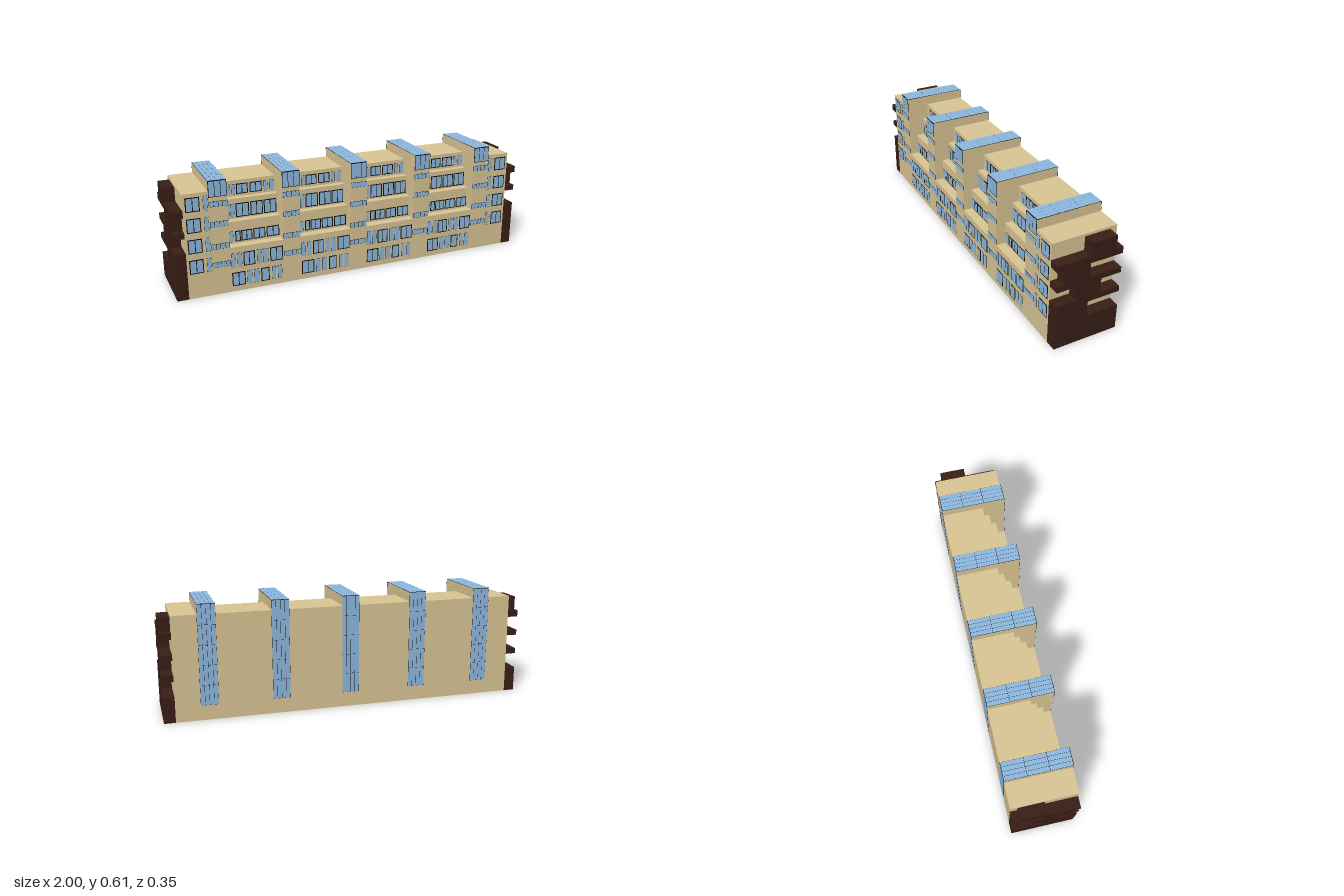
import * as THREE from 'three';

const mat = (color) => new THREE.MeshStandardMaterial({ color });
const WALL = mat(0xdcc896), BROWN = mat(0x3a1e16), GLASS = mat(0x8fbbe2), FRAME = mat(0x15130f);

// Box given by its limits on each axis
function block(name, material, x0, x1, y0, y1, z0, z1) {
  const m = new THREE.Mesh(new THREE.BoxGeometry(x1 - x0, y1 - y0, z1 - z0), material);
  m.name = name;
  m.position.set((x0 + x1) / 2, (y0 + y1) / 2, (z0 + z1) / 2);
  return m;
}

// Glazed panel facing +z, standing on its local origin: dark backing and a grid of panes
function glazing(name, w, h, cols, rows, border, gap) {
  const g = new THREE.Group();
  g.name = name;
  g.add(block('frame', FRAME, -w / 2, w / 2, 0, h, -0.001, 0.0015));
  const pw = (w - 2 * border - (cols - 1) * gap) / cols;
  const ph = (h - 2 * border - (rows - 1) * gap) / rows;
  for (let c = 0; c < cols; c++) {
    for (let r = 0; r < rows; r++) {
      const x = -w / 2 + border + c * (pw + gap), y = border + r * (ph + gap);
      g.add(block('pane', GLASS, x, x + pw, y, y + ph, 0, 0.0025));
    }
  }
  return g;
}

export function createModel() {
  const model = new THREE.Group();
  const D = 0.175, END = 0.94, ROOF = 0.56, TOP = 0.612, HALF = 0.047;
  const towers = [-0.763, -0.382, 0, 0.382, 0.763];

  const addWindow = (x0, x1, y0, y1, z, framed) => {
    const w = x1 - x0;
    const cols = framed && w > 0.05 ? 2 : 1;
    const win = framed ? glazing('framedWindow', w, y1 - y0, cols, 1, 0.005, 0.004)
      : glazing('plainWindow', w, y1 - y0, 1, 1, 0.001, 0);
    win.position.set((x0 + x1) / 2, y0, z);
    model.add(win);
  };

  // Stepped tiers between the towers: bottom, top, front plane
  const tiers = [[0, 0.245, D], [0.245, 0.365, 0.125], [0.365, 0.473, 0.085], [0.473, ROOF, 0.05]];
  // Window rows: bottom, top, front plane, then [start, end, framed] from the bay centre
  const rows = [
    [0.03, 0.105, D, [[-0.14, -0.07, 1], [-0.06, -0.034], [-0.024, 0.004], [0.015, 0.06, 1], [0.075, 0.095], [0.106, 0.13]]],
    [0.135, 0.212, D, [[-0.14, -0.117], [-0.108, -0.084], [-0.076, -0.015, 1], [-0.004, 0.022], [0.028, 0.058], [0.067, 0.137, 1]]],
    [0.255, 0.312, 0.125, [[-0.14, -0.108], [-0.1, -0.072, 1], [-0.068, -0.01, 1], [-0.004, 0.06, 1], [0.068, 0.137, 1]]],
    [0.372, 0.447, 0.085, [[-0.14, -0.115], [-0.108, -0.086], [-0.08, -0.01, 1], [-0.002, 0.064, 1], [0.07, 0.138, 1]]],
    [0.485, 0.54, 0.05, [[-0.118, -0.096], [-0.09, -0.07], [-0.064, -0.002, 1], [0.008, 0.073, 1], [0.082, 0.104], [0.114, 0.138]]],
  ];
  for (let i = 0; i < 4; i++) {
    const left = towers[i] + HALF, right = towers[i + 1] - HALF, mid = (left + right) / 2;
    for (const [y0, y1, z] of tiers) model.add(block('terraceTier', WALL, left, right, y0, y1, -D, z));
    for (const [y0, y1, z, list] of rows) {
      for (const [a, b, framed] of list) addWindow(mid + a, mid + b, y0, y1, z, framed);
    }
  }

  // Stair towers with glazed roof, rear strip, head window and landing windows
  for (const x of towers) {
    model.add(block('stairTower', WALL, x - HALF, x + HALF, 0, TOP, -D, D));

    const roof = glazing('towerRoofGlazing', 2 * HALF, 2 * D, 4, 3, 0.001, 0.0015);
    roof.rotation.x = -Math.PI / 2;
    roof.position.set(x, TOP, D);

    const rear = glazing('towerRearGlazing', 2 * HALF, TOP - 0.08, 4, 5, 0.001, 0.0015);
    rear.rotation.y = Math.PI;
    rear.position.set(x, 0.08, -D);

    const head = glazing('towerHeadWindow', 2 * HALF, 0.084, 3, 1, 0.003, 0.003);
    head.position.set(x, 0.528, D);
    model.add(roof, rear, head);

    for (const y of [0.15, 0.25, 0.37, 0.477]) {
      const landing = glazing('landingWindow', 2 * HALF, 0.028, 4, 1, 0.0015, 0.002);
      landing.position.set(x, y, D);
      model.add(landing);
    }
  }

  // Stacked end profile: bottom, top, back, front
  const stack = [
    [0, 0.137, -D, D], [0.137, 0.22, 0, D], [0.22, 0.25, -D, D], [0.25, 0.33, -0.066, 0.066],
    [0.33, 0.36, -D, D], [0.36, 0.438, 0, 0.137], [0.438, 0.474, -D, D], [0.474, 0.547, -0.137, 0],
  ];
  for (const s of [-1, 1]) {
    const span = (a, b) => (s > 0 ? [a, b] : [-b, -a]);
    // Full-height end wings and their windows
    model.add(block('endWing', WALL, ...span(towers[4] + HALF, END), 0, ROOF, -D, D));
    for (const y of [0.135, 0.245, 0.355, 0.465]) {
      addWindow(...span(0.855, 0.927), y, y + 0.075, D, true);
      addWindow(...span(0.815, 0.838), y, y + 0.075, D, false);
    }
    // Brown sculpted gable
    for (const [y0, y1, z0, z1] of stack) model.add(block('endStack', BROWN, ...span(END, 1), y0, y1, z0, z1));
  }
  return model;
}
